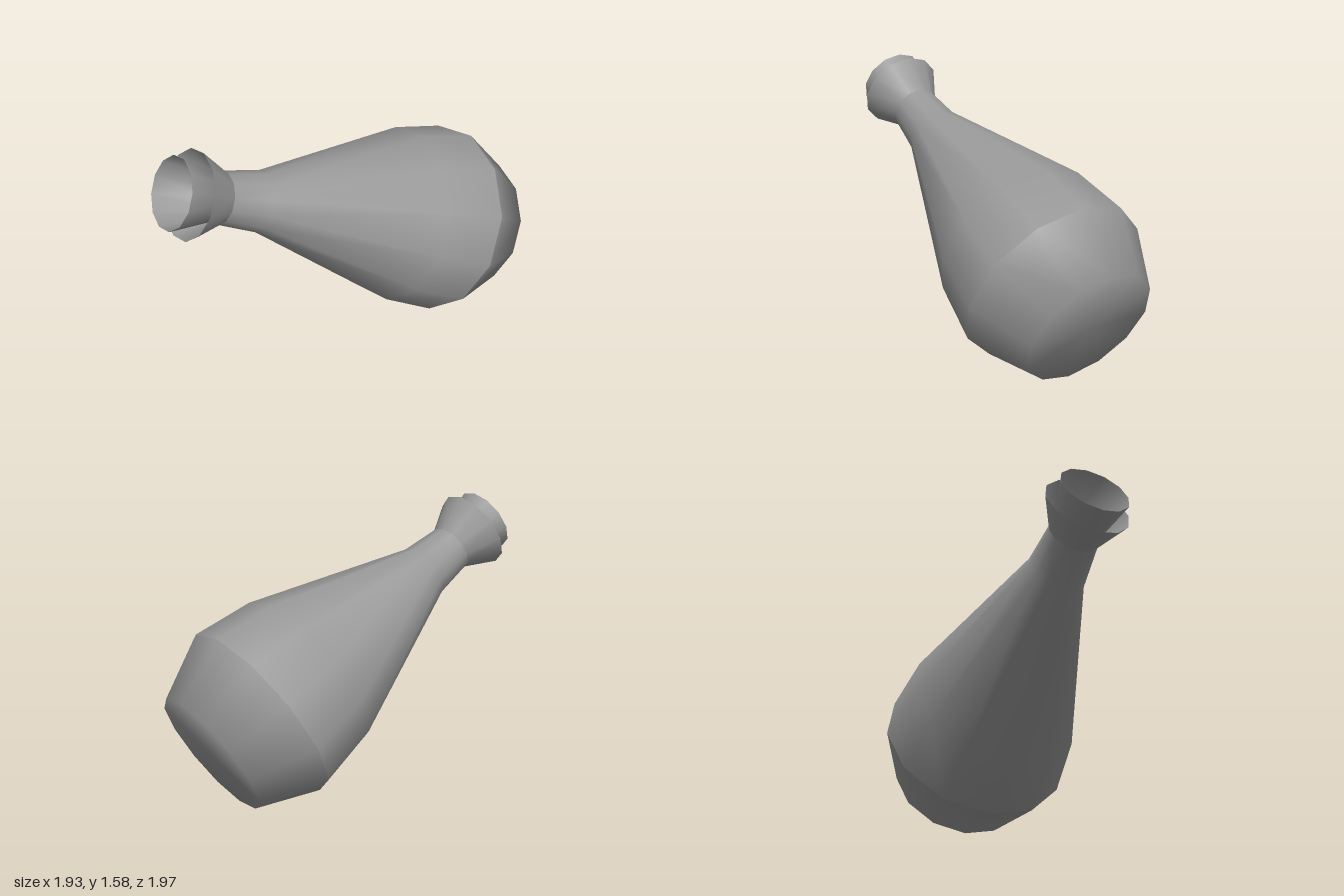
import * as THREE from 'three';

const SIDES = 12;
const STEP = (Math.PI * 2) / SIDES;

export function createModel() {
  const model = new THREE.Group();
  model.name = 'tiltedFlask';

  const grey = new THREE.MeshStandardMaterial({ color: 0x999999, side: THREE.DoubleSide });
  grey.name = 'grey';

  // Everything is turned around one leaning axis, from the base up to the mouth.
  const flask = new THREE.Group();
  flask.name = 'flask';
  const axis = new THREE.Vector3(-0.625, 0.442, 0.647).normalize();
  const side = new THREE.Vector3(0.647, 0, 0.625).normalize();
  const up = new THREE.Vector3().crossVectors(side, axis).normalize();
  flask.quaternion.setFromRotationMatrix(new THREE.Matrix4().makeBasis(side, axis, up));
  flask.position.set(0.218, 0.676, -0.238);
  model.add(flask);

  // Each profile is a list of [radius, height along the axis].
  // Inward parts carry normals that point to the inside of the flask.
  const turn = (name, profile, inward = false, first = 0, count = SIDES) => {
    const points = profile.map(([r, h]) => new THREE.Vector2(r, h));
    const geometry = new THREE.LatheGeometry(points, count, first * STEP, count * STEP);
    if (inward) geometry.attributes.normal.array.forEach((n, i, all) => { all[i] = -n; });
    const mesh = new THREE.Mesh(geometry, grey);
    mesh.name = name;
    flask.add(mesh);
  };

  // rounded base with the band that widens to the belly
  turn('base', [[0, -0.689], [0.41, -0.689], [0.587, -0.318]], true);

  // bulging body tapering to the neck, its underside as a separate strip
  const body = [[0.587, -0.318], [0.535, 0.055], [0.177, 1.075], [0.15, 1.333]];
  turn('body', body, false, 7, 8);
  turn('bodyUnderside', body, true, 3, 4);

  // flared collar and the open mouth cup inside it
  turn('collar', [[0.15, 1.333], [0.255, 1.535]], true);
  turn('mouthCup', [[0, 1.34], [0.13, 1.36], [0.207, 1.642]]);

  return model;
}
